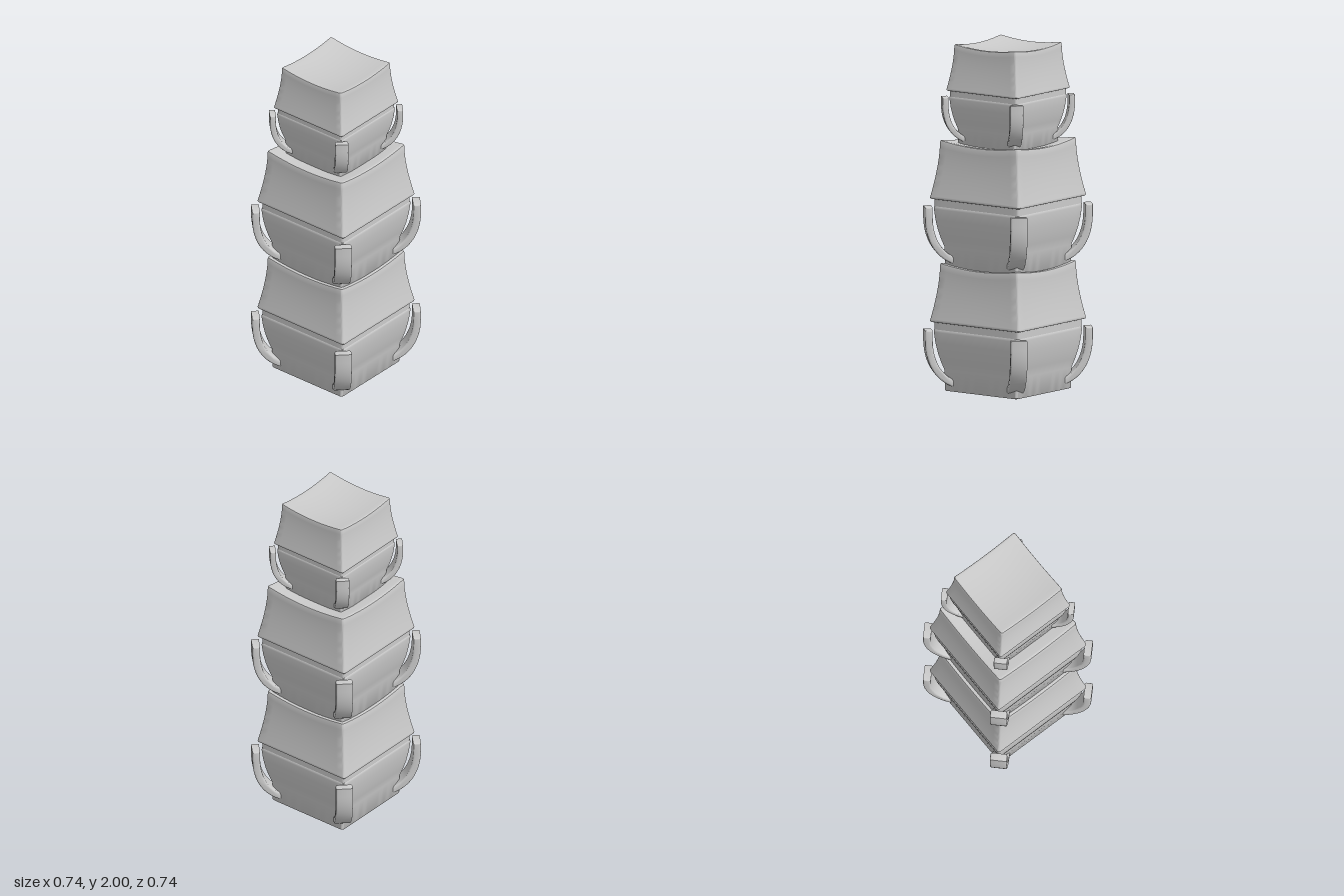
import * as THREE from 'three';
import { toCreasedNormals } from 'three/addons/utils/BufferGeometryUtils.js';

const material = new THREE.MeshStandardMaterial({ color: 0xcccccc });
const TOP = 0.28; // half width of the lid's top edge

// Outline of a square with rounded corners, sides subdivided so they can sag.
function squareRing(half) {
  const r = Math.min(0.014, half * 0.3), c = half - r, pts = [];
  const arc = 4, side = 14;
  for (let k = 0; k < 4; k++) {
    const mid = Math.PI / 4 + k * Math.PI / 2;
    const cx = Math.SQRT2 * c * Math.cos(mid), cz = Math.SQRT2 * c * Math.sin(mid);
    for (let i = 0; i <= arc; i++) {
      const a = k * Math.PI / 2 + (i / arc) * Math.PI / 2;
      pts.push([cx + r * Math.cos(a), -(cz + r * Math.sin(a))]);
    }
    // straight run to the next corner
    const [x, z] = pts[pts.length - 1];
    const dx = -Math.sin(mid + Math.PI / 4), dz = -Math.cos(mid + Math.PI / 4);
    for (let i = 1; i < side; i++) {
      const t = (i / side) * 2 * c;
      pts.push([x + dx * t, z + dz * t]);
    }
  }
  return pts;
}

// Square "lathe": profile rows are [half width, y, sag weight].
function squareLoft(profile) {
  const pos = [], index = [];
  let n = 0;
  for (const [half, y, sag = 0] of profile) {
    const ring = squareRing(half);
    n = ring.length;
    for (const [x, z] of ring) {
      pos.push(x, y + sag * 0.025 * ((x * x + z * z) / (TOP * TOP) - 2), z);
    }
  }
  for (let i = 0; i < profile.length - 1; i++) {
    for (let j = 0; j < n; j++) {
      const a = i * n + j, b = i * n + (j + 1) % n;
      index.push(a, b, b + n, a, b + n, a + n);
    }
  }
  const g = new THREE.BufferGeometry();
  g.setAttribute('position', new THREE.Float32BufferAttribute(pos, 3));
  g.setIndex(index);
  return toCreasedNormals(g, 0.7);
}

// Curved strap: side outline in (radius, height), extruded across its width.
function handleGeometry() {
  const s = new THREE.Shape();
  s.moveTo(0.19, 0.015);
  s.lineTo(0.27, 0.016);
  s.bezierCurveTo(0.39, 0.03, 0.482, 0.13, 0.482, 0.30);
  s.lineTo(0.482, 0.355);
  s.lineTo(0.438, 0.355);
  s.lineTo(0.438, 0.30);
  s.bezierCurveTo(0.437, 0.16, 0.37, 0.07, 0.27, 0.055);
  s.lineTo(0.19, 0.053);
  s.closePath();
  const bevel = 0.009, width = 0.097;
  const g = new THREE.ExtrudeGeometry(s, {
    depth: width - 2 * bevel, curveSegments: 16, bevelEnabled: true,
    bevelSize: bevel, bevelOffset: -bevel, bevelThickness: bevel, bevelSegments: 3,
  });
  g.translate(0, 0, -width / 2 + bevel);
  return toCreasedNormals(g, 0.7);
}

export function createModel() {
  const model = new THREE.Group();
  model.name = 'stackedBoxes';

  // Bowl with a recessed foot and flaring walls
  const bowl = squareLoft([
    [0, 0.045], [0.237, 0.045], [0.24, 0], [0.256, 0], [0.26, 0.005],
    [0.262, 0.12], [0.277, 0.17], [0.289, 0.22], [0.299, 0.28],
    [0.305, 0.34], [0.304, 0.353], [0.298, 0.36], [0, 0.36],
  ]);
  const neck = squareLoft([[0, 0.35], [0.302, 0.35], [0.302, 0.405], [0, 0.405]]);

  // Lid with concave walls and a dished top
  const lidProfile = [[0, 0.398], [0.312, 0.398], [0.318, 0.4], [0.321, 0.406], [0.319, 0.415]];
  for (let i = 1; i <= 10; i++) {
    const t = i / 10;
    lidProfile.push([0.319 - 0.039 * (1 - (1 - t) ** 1.7), 0.415 + 0.313 * t, t]);
  }
  lidProfile.push([0.277, 0.737, 1], [0.270, 0.741, 1], [0.262, 0.742, 1]);
  for (let i = 7; i >= 0; i--) lidProfile.push([0.262 * i / 8, 0.742, 1]);
  const lid = squareLoft(lidProfile);
  const handle = handleGeometry();

  const tiers = [['lowerBox', 0, 1], ['middleBox', 0.71, 1], ['upperBox', 1.415, 0.79]];
  for (const [name, y, scale] of tiers) {
    const tier = new THREE.Group();
    tier.name = name;
    tier.position.y = y;
    tier.scale.setScalar(scale);
    for (const [part, geometry] of [['bowl', bowl], ['neck', neck], ['lid', lid]]) {
      const mesh = new THREE.Mesh(geometry, material);
      mesh.name = part;
      tier.add(mesh);
    }
    // One strap on each corner
    for (let k = 0; k < 4; k++) {
      const mesh = new THREE.Mesh(handle, material);
      mesh.name = 'cornerHandle';
      mesh.rotation.y = Math.PI / 4 + k * Math.PI / 2;
      tier.add(mesh);
    }
    model.add(tier);
  }
  return model;
}
